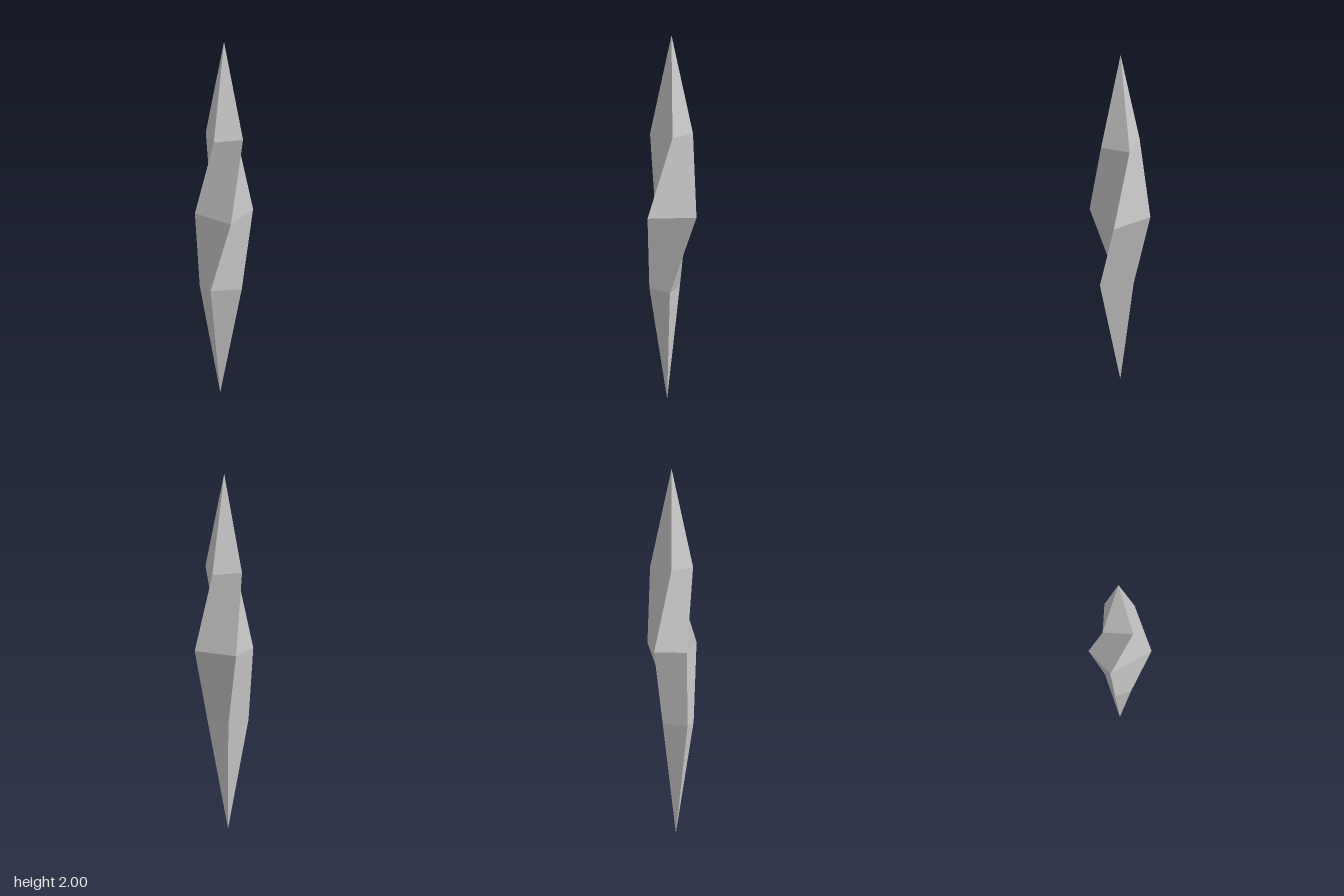
import * as THREE from 'three';

// Cross-sections as [x, z] corners, counter-clockwise from above, each ring twisted against the next
const SECTIONS = [
  { y: 0, pts: [[-0.005, 0.02]] },
  { y: 0.61, pts: [[-0.095, 0.083], [-0.01, 0.115], [0.122, 0.01], [-0.05, -0.05]] },
  { y: 1.02, pts: [[-0.127, 0.08], [0.124, 0.13], [0.11, -0.133], [-0.127, -0.096]] },
  { y: 1.46, pts: [[0.008, 0.112], [0.122, -0.004], [0.008, -0.118], [-0.108, -0.004]] },
  { y: 2, pts: [[0.005, -0.003]] },
];

function corner(section, i) {
  const [x, z] = section.pts[i % section.pts.length];
  return new THREE.Vector3(x, section.y, z);
}

// Joins the sections with facets; both halves of a facet share one normal
function crystalGeometry(sections) {
  const positions = [];
  const normals = [];
  const addTriangle = (a, b, c, n) => {
    for (const p of [a, b, c]) {
      positions.push(p.x, p.y, p.z);
      normals.push(n.x, n.y, n.z);
    }
  };
  for (let s = 0; s < sections.length - 1; s++) {
    const low = sections[s];
    const high = sections[s + 1];
    for (let i = 0; i < 4; i++) {
      const a = corner(low, i), b = corner(low, i + 1);
      const c = corner(high, i + 1), d = corner(high, i);
      const n = c.clone().sub(a).cross(d.clone().sub(b)).normalize();
      if (low.pts.length > 1) addTriangle(a, b, c, n);
      if (high.pts.length > 1) addTriangle(a, c, d, n);
    }
  }
  const geometry = new THREE.BufferGeometry();
  geometry.setAttribute('position', new THREE.Float32BufferAttribute(positions, 3));
  geometry.setAttribute('normal', new THREE.Float32BufferAttribute(normals, 3));
  return geometry;
}

export function createModel() {
  const group = new THREE.Group();
  group.name = 'crystalShard';
  const material = new THREE.MeshStandardMaterial({ color: 0xcccccc });
  const crystal = new THREE.Mesh(crystalGeometry(SECTIONS), material);
  crystal.name = 'crystal';
  group.add(crystal);
  return group;
}
